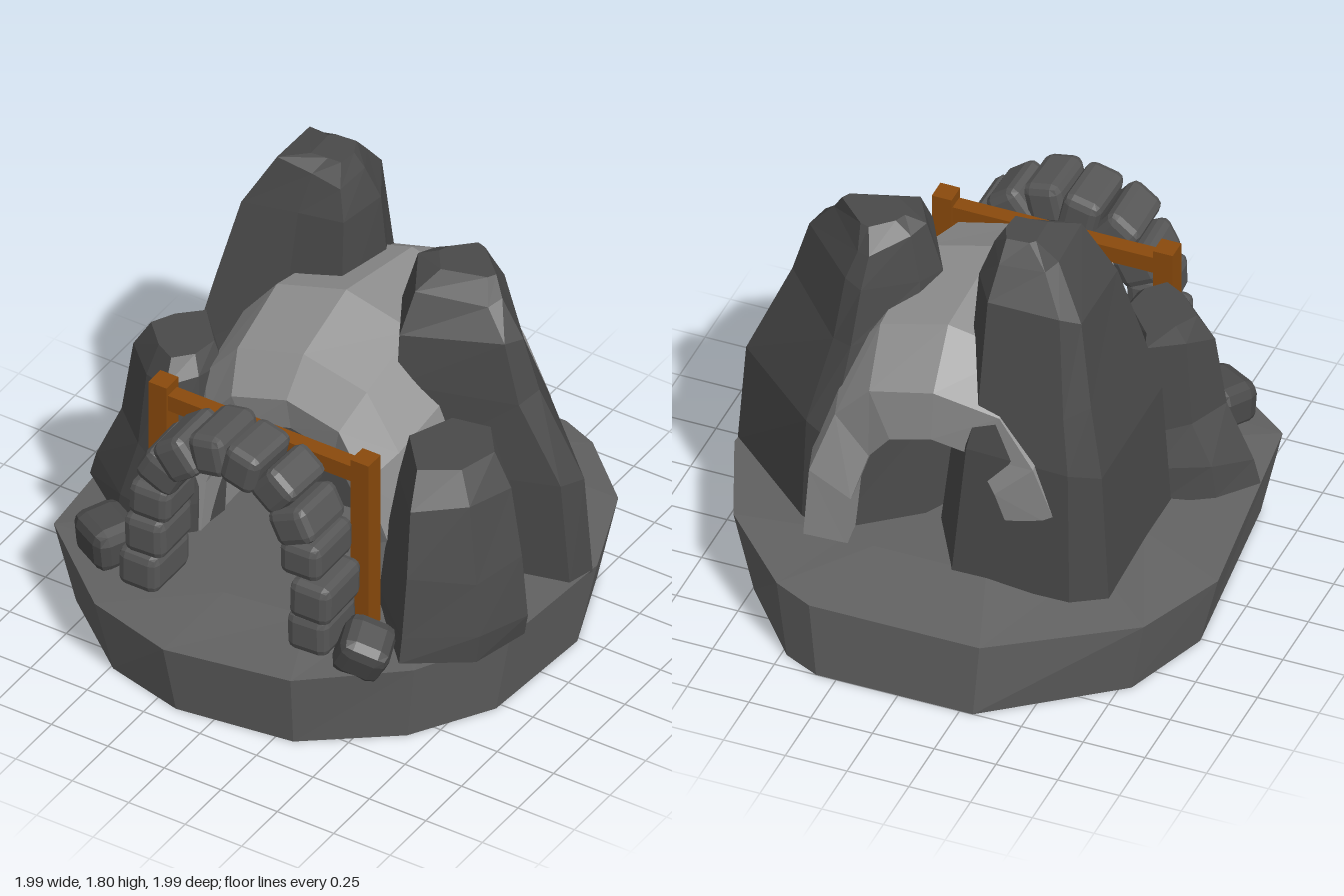
import * as THREE from 'three';
import { RoundedBoxGeometry } from 'three/addons/geometries/RoundedBoxGeometry.js';

const mat = (color, side = THREE.FrontSide) => new THREE.MeshStandardMaterial({ color, flatShading: true, side });
const rockMat = mat(0x4a4a4a);
const stoneMat = mat(0x565656);
const groundMat = mat(0x616161);
const caveMat = mat(0x8f8f8f, THREE.DoubleSide);
const woodMat = mat(0x8a4a0c);

function add(group, name, geometry, material) {
  const mesh = new THREE.Mesh(geometry, material);
  mesh.name = name;
  group.add(mesh);
  return mesh;
}

// Skins rows of points; closed rows wrap round and get a fan at each end.
function loft(rows, closed) {
  const n = rows[0].length;
  const pos = rows.flat(2);
  const index = [];
  const last = rows.length - 1;
  for (let r = 0; r < last; r++) {
    for (let i = 0; i < (closed ? n : n - 1); i++) {
      const a = r * n + i, b = r * n + (i + 1) % n;
      index.push(a, a + n, b, b, a + n, b + n);
    }
  }
  if (closed) {
    [0, last].forEach((r) => {
      const centre = [0, 1, 2].map((k) => rows[r].reduce((s, p) => s + p[k], 0) / n);
      const c = pos.length / 3;
      pos.push(...centre);
      for (let i = 0; i < n; i++) {
        const a = r * n + i, b = r * n + (i + 1) % n;
        index.push(c, r ? b : a, r ? a : b);
      }
    });
  }
  const g = new THREE.BufferGeometry();
  g.setAttribute('position', new THREE.Float32BufferAttribute(pos, 3));
  g.setIndex(index);
  g.computeVertexNormals();
  return g;
}

// A crag: a unit outline [x, z] stacked at levels [y, centreX, centreZ, halfX, halfZ].
function crag(outline, levels) {
  const top = levels.length - 1;
  return loft(levels.map(([y, cx, cz, sx, sz], r) => outline.map(([x, z], i) => {
    const k = 1 + 0.06 * Math.sin(i * 7 + r * 13);
    const dy = r === 0 || r === top ? 0 : 0.03 * Math.sin(i * 5 + r * 3);
    return [cx + x * sx * k, y + dy, cz + z * sz * k];
  })), true);
}

// Half arch row from right foot over the top to the left foot.
function archRow([z, half, top, cx = 0]) {
  const foot = 0.36, steps = 8, row = [];
  for (let i = 0; i <= steps; i++) {
    const a = Math.PI * i / steps, c = Math.cos(a);
    row.push([
      cx + half * Math.sign(c) * Math.abs(c) ** 0.75,
      foot + (top - foot) * Math.max(0, Math.sin(a)) ** 0.95,
      z + 0.02 * Math.sin(i * 4),
    ]);
  }
  return row;
}

export function createModel() {
  const model = new THREE.Group();

  // Ground slab: narrower foot, irregular rim, raised plateau
  const rim = [
    [0.97, 0.38, -0.25], [0.93, 0.38, 0.3], [0.72, 0.36, 0.64], [0.35, 0.34, 0.92],
    [-0.17, 0.32, 0.99], [-0.53, 0.33, 0.9], [-0.9, 0.36, 0.6], [-1, 0.32, -0.28],
    [-0.86, 0.34, -0.67], [-0.33, 0.32, -1], [0.36, 0.32, -1], [0.52, 0.33, -0.93], [0.81, 0.37, -0.65],
  ];
  add(model, 'ground', loft([
    rim.map(([x, , z]) => [x * 0.92, 0, z < -0.9 ? z : z * 0.93]),
    rim,
    rim.map(([x, , z]) => [x * 0.66, 0.395, z * 0.66]),
  ], true), groundMat);

  // Cave shell: outer skin front to back, then inner skin back to front
  const shell = [
    [0.4, 0.47, 1.18], [0.28, 0.57, 1.32], [-0.02, 0.6, 1.43], [-0.45, 0.56, 1.36, 0.02], [-0.67, 0.53, 1.2, -0.01],
    [-0.67, 0.34, 0.98], [-0.1, 0.4, 1.06], [0.37, 0.39, 1.03], [0.4, 0.47, 1.18],
  ];
  add(model, 'caveShell', loft(shell.map(archRow), false), caveMat);

  // Four crags round the cave
  add(model, 'backRightCrag', crag(
    [[0.98, -0.2], [0.9, 0.75], [0.1, 0.82], [-0.95, 0.95], [-1, -0.7], [-0.7, -0.95], [0.6, -1]],
    [[0.37, -0.3, -0.33, 0.38, 0.37], [0.95, -0.33, -0.34, 0.33, 0.36], [1.2, -0.335, -0.35, 0.275, 0.31],
      [1.58, -0.32, -0.35, 0.23, 0.23], [1.75, -0.28, -0.33, 0.145, 0.15], [1.8, -0.24, -0.33, 0.07, 0.08]],
  ), rockMat);
  add(model, 'backLeftCrag', crag(
    [[1, 0.2], [0.9, 0.5], [-0.45, 1], [-1, 0.13], [-0.85, -0.3], [-0.2, -1], [0.1, -0.85]],
    [[0.37, 0.52, -0.29, 0.45, 0.36], [0.8, 0.51, -0.28, 0.42, 0.36], [1.2, 0.45, -0.22, 0.31, 0.31],
      [1.4, 0.425, -0.2, 0.27, 0.27], [1.56, 0.4, -0.21, 0.19, 0.2], [1.62, 0.42, -0.22, 0.13, 0.11]],
  ), rockMat);
  add(model, 'frontRightCrag', crag(
    [[1, -0.1], [0.9, 0.55], [0.45, 1], [-0.2, 0.75], [-1, 0.1], [-0.6, -0.5], [0.1, -1]],
    [[0.37, -0.66, 0.25, 0.28, 0.25], [0.5, -0.65, 0.25, 0.27, 0.25], [0.7, -0.6, 0.24, 0.22, 0.23],
      [1.05, -0.6, 0.22, 0.185, 0.2], [1.14, -0.59, 0.2, 0.13, 0.16]],
  ), rockMat);
  add(model, 'frontLeftCrag', crag(
    [[1, -0.3], [0.75, 0.5], [-0.1, 1], [-1, 0.15], [-0.5, -0.85], [0.5, -1]],
    [[0.39, 0.7, 0.35, 0.27, 0.3], [0.48, 0.7, 0.35, 0.28, 0.28], [0.75, 0.69, 0.33, 0.25, 0.26],
      [1, 0.66, 0.29, 0.21, 0.24], [1.14, 0.63, 0.26, 0.16, 0.19]],
  ), rockMat);

  // Stone arch: two blocks per leg, eight voussoirs over the top
  const arch = new THREE.Group();
  arch.name = 'stoneArch';
  model.add(arch);
  const blocks = [[-0.39, 0.49, 0], [-0.37, 0.655, 0.03], [0.35, 0.49, 0.02], [0.37, 0.655, -0.02]];
  for (let i = 0; i < 8; i++) {
    const a = (1 + i * 25.4) * Math.PI / 180;
    blocks.push([-0.01 + 0.335 * Math.cos(a), 0.825 + 0.335 * Math.sin(a), a]);
  }
  blocks.forEach(([x, y, turn], i) => {
    const geo = new RoundedBoxGeometry(0.175, i < 4 ? 0.17 : 0.155, 0.26 + 0.015 * Math.sin(i * 5), 1, 0.035);
    const block = add(arch, 'archStone', geo, stoneMat);
    block.position.set(x, y, 0.705 + 0.01 * Math.sin(i * 3));
    block.rotation.set(0, 0.04 * Math.sin(i * 7), turn);
  });

  // Timber frame behind the arch: [name, width, height, x, y, lean]
  [
    ['rightPost', 0.08, 0.8, -0.465, 0.77, 0],
    ['leftPost', 0.08, 0.78, 0.43, 0.78, 0],
    ['crossbeam', 0.9, 0.07, -0.02, 1.095, 0],
  ].forEach(([name, w, h, x, y, lean], i) => {
    const beam = add(model, name, new THREE.BoxGeometry(w, h, i < 2 ? 0.085 : 0.065), woodMat);
    beam.position.set(x, y, 0.52);
    beam.rotation.z = lean;
  });

  // Loose boulders in front
  [
    [-0.64, 0.43, 0.63, 0.23, 0.19, 0.2, 0.1, -0.5, 0.05],
    [0.53, 0.42, 0.69, 0.2, 0.19, 0.2, 0.3, 0.3, -0.5],
  ].forEach(([x, y, z, w, h, d, rx, ry, rz]) => {
    const boulder = add(model, 'boulder', new RoundedBoxGeometry(w, h, d, 1, 0.05), rockMat);
    boulder.position.set(x, y, z);
    boulder.rotation.set(rx, ry, rz);
  });

  return model;
}
